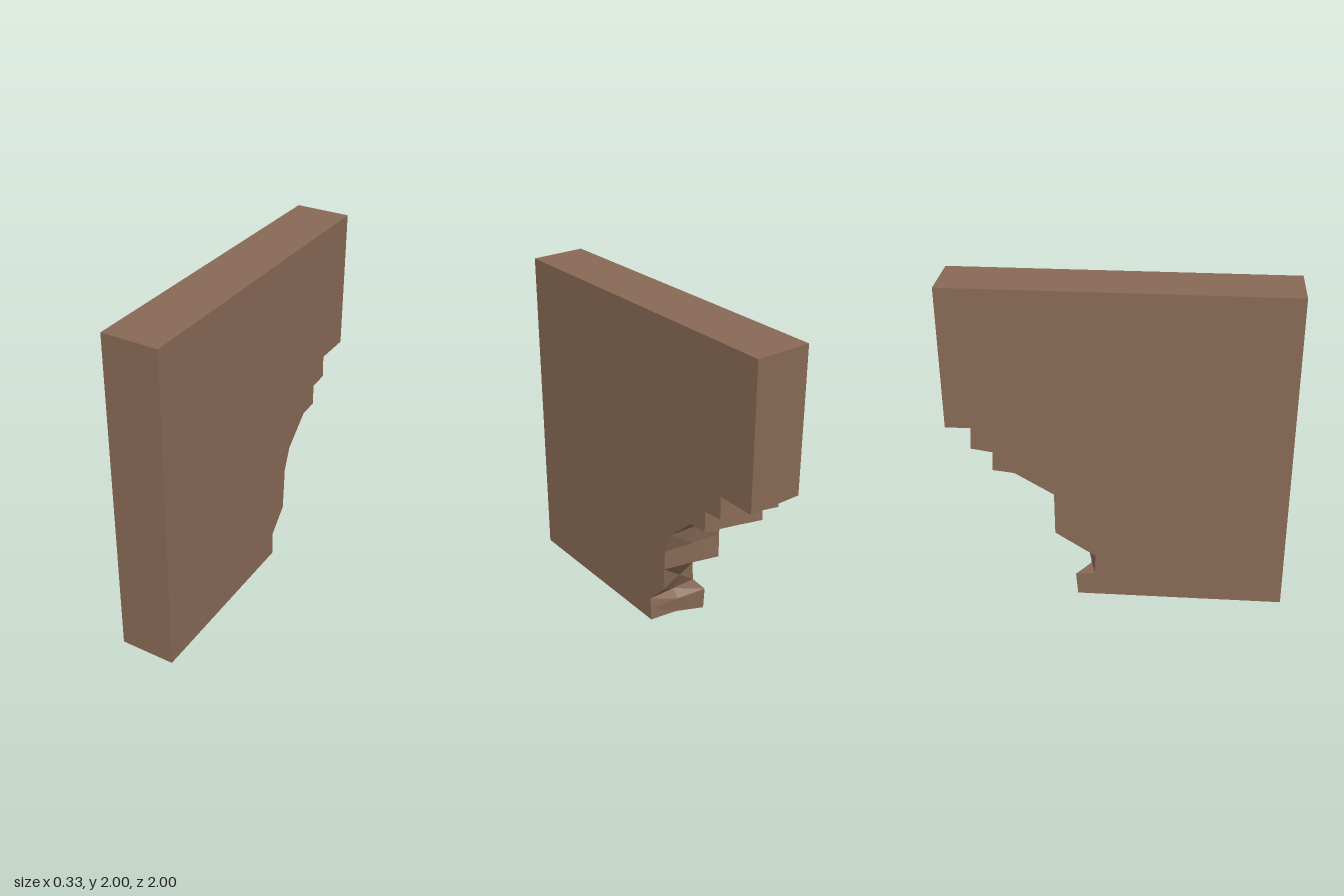
import * as THREE from 'three';

// Stepped rear edge as [z, y]: matching points on the left (+x) and right (-x) faces
const leftEdge = [
  [-1, 1.145], [-0.76, 1.145], [-0.765, 1.005], [-0.64, 0.995], [-0.64, 0.865], [-0.52, 0.86],
  [-0.34, 0.70], [-0.288, 0.56], [-0.283, 0.435], [-0.275, 0.285], [-0.145, 0.15], [-0.15, 0.08], [-0.155, 0],
];
const rightEdge = [
  [-1, 1.145], [-0.85, 1.145], [-0.86, 1.01], [-0.73, 0.99], [-0.74, 0.87], [-0.61, 0.855],
  [-0.38, 0.717], [-0.38, 0.6], [-0.38, 0.445], [-0.138, 0.286], [-0.145, 0.155], [-0.26, 0.145], [-0.25, 0],
];
const outerCorners = [[1, 0], [1, 2], [-1, 2]];
const halfWidth = 0.167;

function slabGeometry() {
  // Middle section is the average, with the small foot notched inwards
  const middleEdge = leftEdge.map(([z, y], i) => [(z + rightEdge[i][0]) / 2, (y + rightEdge[i][1]) / 2]);
  middleEdge[11] = [-0.19, 0.1];
  middleEdge[12] = [-0.18, 0];
  const sections = [
    { x: halfWidth, ring: [...leftEdge, ...outerCorners] },
    { x: -0.01, ring: [...middleEdge, ...outerCorners] },
    { x: -halfWidth, ring: [...rightEdge, ...outerCorners] },
  ];
  const positions = [];
  const add = (section, i) => positions.push(section.x, section.ring[i][1], section.ring[i][0]);

  // Faces round the slab
  for (let s = 0; s < sections.length - 1; s++) {
    const a = sections[s], b = sections[s + 1], n = a.ring.length;
    for (let i = 0; i < n; i++) {
      const j = (i + 1) % n;
      add(a, i); add(a, j); add(b, j);
      add(a, i); add(b, j); add(b, i);
    }
  }
  // Flat side faces
  const cap = (section, flip) => {
    const contour = section.ring.map(([z, y]) => new THREE.Vector2(z, y));
    for (const [i, j, k] of THREE.ShapeUtils.triangulateShape(contour, [])) {
      const p = contour[i], q = contour[j], r = contour[k];
      const ccw = (q.x - p.x) * (r.y - p.y) - (q.y - p.y) * (r.x - p.x) > 0;
      const order = ccw !== flip ? [i, j, k] : [i, k, j];
      order.forEach((v) => add(section, v));
    }
  };
  cap(sections[0], true);
  cap(sections[2], false);

  const geometry = new THREE.BufferGeometry();
  geometry.setAttribute('position', new THREE.Float32BufferAttribute(positions, 3));
  geometry.computeVertexNormals();
  return geometry;
}

export function createModel() {
  const group = new THREE.Group();
  group.name = 'brokenWall';
  const brown = new THREE.MeshStandardMaterial({ color: 0x886a55 });
  brown.name = 'earthBrown';
  const slab = new THREE.Mesh(slabGeometry(), brown);
  slab.name = 'wallSlab';
  group.add(slab);
  return group;
}
